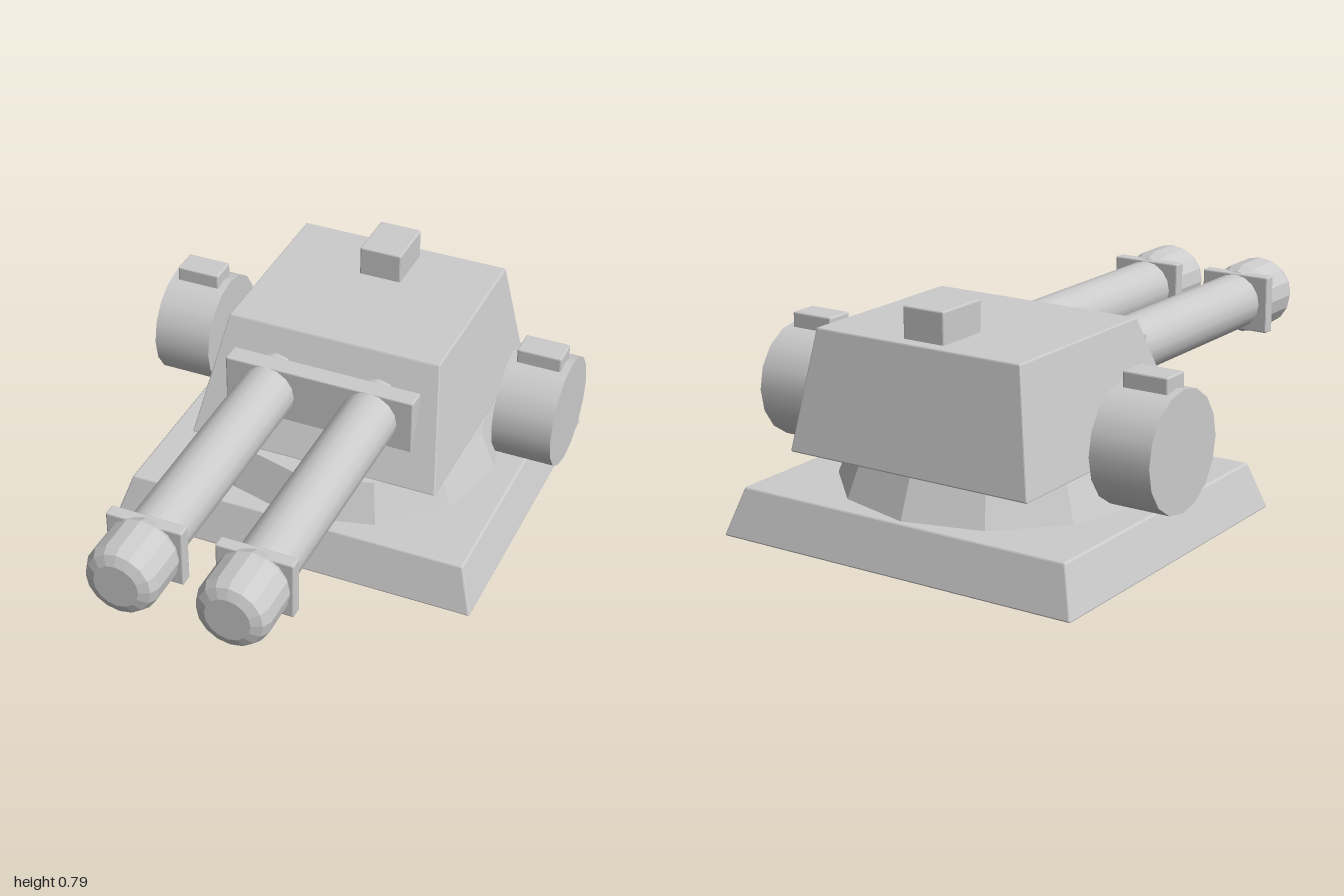
import * as THREE from 'three';
import { RoundedBoxGeometry } from 'three/addons/geometries/RoundedBoxGeometry.js';

const flat = new THREE.MeshStandardMaterial({ color: 0xcccccc, flatShading: true });
const smooth = new THREE.MeshStandardMaterial({ color: 0xcccccc });

// Softly bevelled block spanning [min, max] on each axis
function block(name, [x0, x1], [y0, y1], [z0, z1]) {
  const geo = new RoundedBoxGeometry(x1 - x0, y1 - y0, z1 - z0, 1, 0.005);
  geo.translate((x0 + x1) / 2, (y0 + y1) / 2, (z0 + z1) / 2);
  const mesh = new THREE.Mesh(geo, flat);
  mesh.name = name;
  return mesh;
}

// Block whose x and z extents change linearly from bottom to top
function taperedBlock(name, [y0, y1], bottom, top) {
  const geo = new RoundedBoxGeometry(1, y1 - y0, 1, 1, 0.005);
  const p = geo.attributes.position;
  const lerp = THREE.MathUtils.lerp;
  for (let i = 0; i < p.count; i++) {
    const t = p.getY(i) / (y1 - y0) + 0.5;
    const half = lerp(bottom.x, top.x, t);
    const back = lerp(bottom.back, top.back, t);
    const front = lerp(bottom.front, top.front, t);
    p.setXYZ(i, p.getX(i) * 2 * half, lerp(y0, y1, t), lerp(back, front, p.getZ(i) + 0.5));
  }
  geo.computeVertexNormals();
  const mesh = new THREE.Mesh(geo, flat);
  mesh.name = name;
  return mesh;
}

// One barrel with its square collar and chamfered muzzle
function gun(x) {
  const group = new THREE.Group();
  group.name = 'gun';
  const y = 0.5;

  const barrel = new THREE.Mesh(
    new THREE.CylinderGeometry(0.097, 0.097, 1.05, 16).rotateX(Math.PI / 2), smooth);
  barrel.name = 'barrel';
  barrel.position.set(x, y, 0.275);

  const profile = [[0, 0.77], [0.075, 0.77], [0.104, 0.785], [0.122, 0.825],
    [0.122, 0.955], [0.108, 0.985], [0.075, 1], [0, 1]].map(([r, z]) => new THREE.Vector2(r, z));
  const muzzle = new THREE.Mesh(new THREE.LatheGeometry(profile, 16).rotateX(Math.PI / 2), flat);
  muzzle.name = 'muzzle';
  muzzle.position.set(x, y, 0);

  group.add(barrel, muzzle,
    block('collar', [x - 0.128, x + 0.128], [0.4, 0.6], [0.768, 0.812]));
  return group;
}

// Round pod beside the turret, with a small block on top
function sidePod(side) {
  const group = new THREE.Group();
  group.name = side > 0 ? 'leftPod' : 'rightPod';
  const drum = new THREE.Mesh(
    new THREE.CylinderGeometry(0.192, 0.192, 0.206, 16).rotateZ(Math.PI / 2), smooth);
  drum.name = 'podDrum';
  drum.position.set(side * 0.628, 0.393, -0.52);
  const c = side * 0.628;
  group.add(drum, block('podCap', [c - 0.077, c + 0.077], [0.56, 0.626], [-0.57, -0.473]));
  return group;
}

export function createModel() {
  const model = new THREE.Group();
  model.name = 'turret';

  // Square foot and the twelve-sided turning ring
  model.add(taperedBlock('base', [0, 0.157],
    { x: 0.65, back: -1, front: 0.17 }, { x: 0.6, back: -0.95, front: 0.12 }));
  const ring = new THREE.Mesh(new THREE.CylinderGeometry(0.465, 0.52, 0.14, 12), flat);
  ring.name = 'turningRing';
  ring.position.set(0, 0.222, -0.415);
  model.add(ring);

  // Sloped housing with its roof block and gun mount
  model.add(taperedBlock('housing', [0.29, 0.682],
    { x: 0.442, back: -0.91, front: -0.028 }, { x: 0.376, back: -0.845, front: -0.207 }));
  model.add(block('roofBlock', [-0.075, 0.075], [0.67, 0.785], [-0.803, -0.613]));
  model.add(block('gunMount', [-0.335, 0.335], [0.4, 0.597], [-0.15, -0.08]));

  // Mirrored guns and pods
  for (const side of [1, -1]) model.add(gun(side * 0.183), sidePod(side));
  return model;
}
